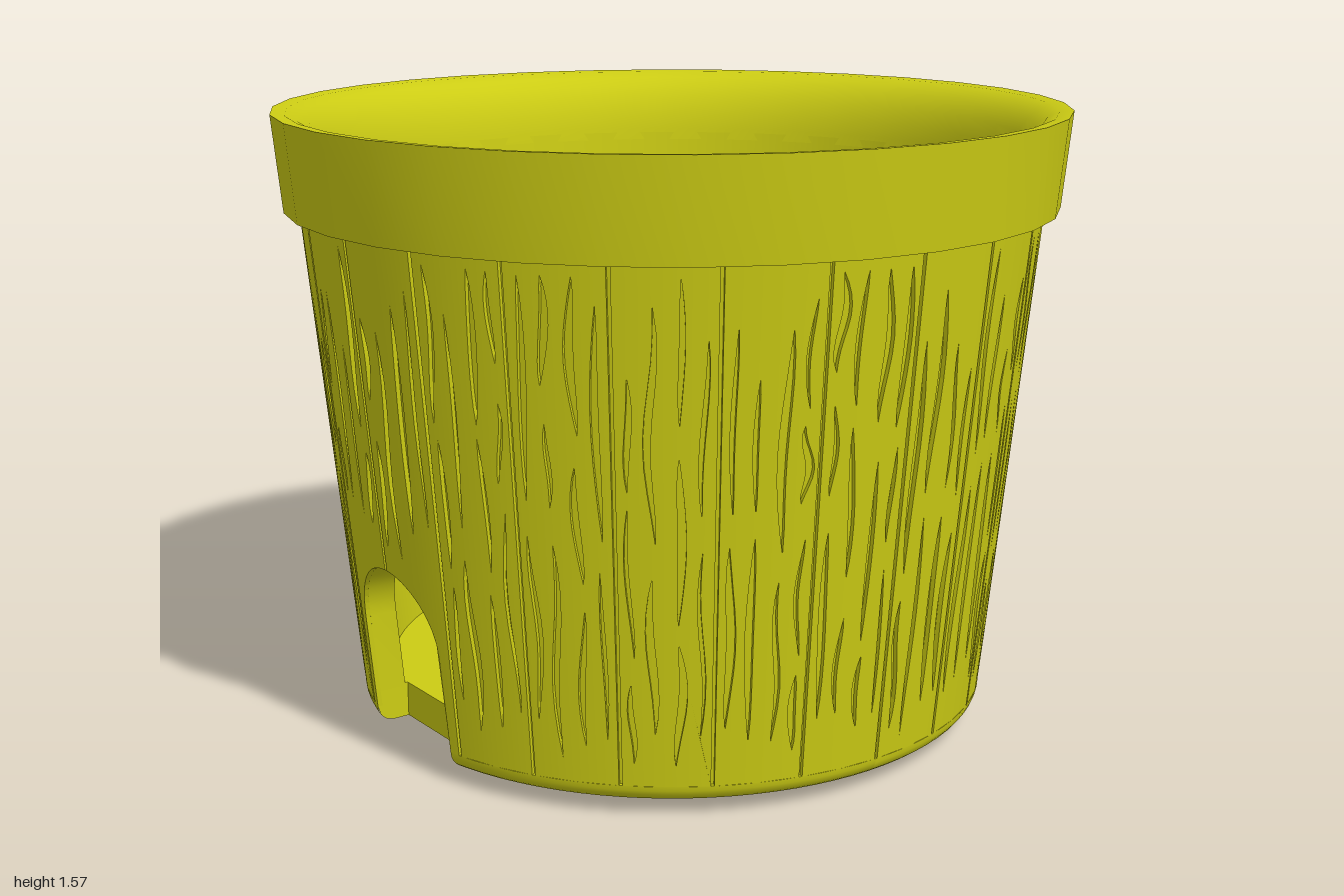
import * as THREE from 'three';
import { toCreasedNormals } from 'three/addons/utils/BufferGeometryUtils.js';

const FOOT = 0.08, BASE = 0.035, FLOOR = 0.125, BODY_TOP = 1.34;
const DOOR = 0.18, SPRING = 0.325, SILL_X = 0.71;   // door half width, arch spring height, sill face
const GROOVE = 0.012, SLOPE = 0.096;
const DEG = Math.PI / 180, STRIP = 7.5 * DEG;

// Wall radii by height; the outer one rounds off into the foot
const outerR = y => y >= FOOT
  ? 0.818 + SLOPE * (y - FOOT)
  : 0.773 + 0.045 * Math.sqrt(Math.max(0, 1 - ((FOOT - y) / 0.045) ** 2));
const innerR = y => 0.74 + 0.0905 * (y - FLOOR);
const archY = z => SPRING + Math.sqrt(Math.max(0, DOOR * DOOR - z * z));

// Seeded random numbers
let seed = 7;
const rand = (lo, hi) => {
  seed = (seed * 16807) % 2147483647;
  return lo + (hi - lo) * seed / 2147483647;
};

// Surface through a grid of points, fn(column, row) -> [x, y, z]
function grid(cols, rows, fn) {
  const pos = [], index = [], n = rows.length;
  cols.forEach((c, i) => rows.forEach((r, j) => {
    pos.push(...fn(c, r));
    if (i && j) {
      const d = i * n + j, a = d - n - 1;
      index.push(a, d - 1, d, a, d, a + 1);
    }
  }));
  const geo = new THREE.BufferGeometry();
  geo.setAttribute('position', new THREE.Float32BufferAttribute(pos, 3));
  geo.setIndex(index);
  return toCreasedNormals(geo, 0.5);
}

// Wall columns of one half, around a door at +x: fixed angle, or fixed z near the door
const sideCols = [];
for (let a = 90; a >= 15; a -= 3.75) sideCols.push({ a: a * DEG });
const rightCols = [...sideCols, { z: DOOR }];
const leftCols = [{ z: -DOOR }, ...sideCols.map(c => ({ a: -c.a })).reverse()];
const doorCols = [];
for (let i = 1; i < 16; i++) doorCols.push({ z: DOOR * Math.cos(i / 16 * Math.PI) });
const allCols = [...rightCols, ...doorCols, ...leftCols];

// Band of wall; rows are [height, inset]; columns over the door stop at the arch
const band = (radius, cols, rows) => grid(cols, rows, (c, [y, inset]) => {
  if (c.z === undefined) {
    const r = radius(y) - inset;
    return [r * Math.cos(c.a), y, r * Math.sin(c.a)];
  }
  if (Math.abs(c.z) < DOOR) y = Math.max(y, archY(c.z));
  return [Math.sqrt((radius(y) - inset) ** 2 - c.z * c.z), y, c.z];
});

// Lower edge of a wood strip between two angles from the door's middle
function lowerEdge(n) {
  const split = 0.669, pts = [];
  if (n > 1) return [[n * STRIP, FOOT], [(n + 1) * STRIP, FOOT]];
  for (let i = 0; i <= 8; i++) {
    const t = n ? split + (Math.PI / 2 - split) * i / 8 : split * i / 8;
    const y = SPRING + DOOR * Math.cos(t);
    pts.push([Math.asin(DOOR * Math.sin(t) / outerR(y)), y]);
  }
  if (n) {
    pts[0][0] = STRIP;
    pts.push([Math.asin(DOOR / outerR(FOOT)), FOOT], [2 * STRIP, FOOT]);
  } else pts[8][0] = STRIP;
  return pts;
}

// Wavy leaf-shaped grain groove
function grainHole(centre, y0, length) {
  const w = rand(0.005, 0.013), amp = rand(0.003, 0.011), ph = rand(0, 6.3), freq = rand(3, 7);
  const side = [];
  for (let i = 0; i <= 9; i++) {
    const t = i / 9;
    side.push([centre + amp * Math.sin(ph + freq * t), y0 + length * t, w * Math.sin(Math.PI * t) ** 0.7 || 0]);
  }
  const right = side.map(([x, y, h]) => new THREE.Vector2(x + h, y));
  const left = side.slice(1, -1).reverse().map(([x, y, h]) => new THREE.Vector2(x - h, y));
  return new THREE.Path([...right, ...left]);
}

// One strip of wood skin with grain cut through it, wrapped on the tapered wall
function stripGeometry(k) {
  const n = k >= 0 ? k : -k - 1, sign = k >= 0 ? 1 : -1;
  const edge = lowerEdge(n), last = edge.length - 1;
  if (n % 2) edge[last][0] -= 0.005; else edge[0][0] += 0.005;   // plank seam
  const outline = [...edge, [edge[last][0], BODY_TOP], [edge[0][0], BODY_TOP]];
  const shape = new THREE.Shape(outline.map(([a, y]) => new THREE.Vector2(sign * a, y)));
  for (const lane of [0.28, 0.72]) {
    let y = (n < 2 ? 0.54 : 0.12) + rand(0, 0.12);
    while (y < 1.1) {
      const length = Math.min(rand(0.18, 0.6), 1.3 - y);
      shape.holes.push(grainHole(sign * (n + lane) * STRIP, y, length));
      y += length + rand(0.03, 0.1);
    }
  }
  const geo = new THREE.ExtrudeGeometry(shape, { depth: GROOVE, bevelEnabled: false });
  const p = geo.attributes.position;
  for (let i = 0; i < p.count; i++) {
    const v = p.getX(i), y = p.getY(i), r = outerR(y) - GROOVE + p.getZ(i);
    p.setXYZ(i, r * Math.cos(v), y, -r * Math.sin(v));
  }
  geo.computeVertexNormals();
  // Smooth the outward faces around the wall
  const nor = geo.attributes.normal, out = new THREE.Vector3(), f = new THREE.Vector3();
  for (let i = 0; i < p.count; i++) {
    out.set(p.getX(i), 0, p.getZ(i)).normalize().setY(-SLOPE).normalize();
    if (f.fromBufferAttribute(nor, i).dot(out) > 0.7) nor.setXYZ(i, out.x, out.y, out.z);
  }
  return geo;
}

export function createModel() {
  const model = new THREE.Group();
  model.name = 'woodenTub';
  const material = new THREE.MeshStandardMaterial({ color: 0xcccc14 });
  const add = (parent, name, geo) => {
    const mesh = new THREE.Mesh(geo, material);
    mesh.name = name;
    parent.add(mesh);
    return mesh;
  };
  const lathe = (pts, sides) => toCreasedNormals(
    new THREE.LatheGeometry(pts.map(([x, y]) => new THREE.Vector2(x, y)), sides), 0.5);

  // Half wall geometries, shared by both halves
  const footRows = [];
  for (let i = 0; i <= 6; i++) footRows.push([FOOT - 0.045 * Math.cos(i / 6 * Math.PI / 2), 0]);
  const archPath = [[-DOOR, BASE], [-DOOR, 0.042], [-DOOR, 0.055], [-DOOR, FOOT]];
  for (let i = 0; i <= 20; i++) {
    const t = i / 20 * Math.PI;
    archPath.push([-DOOR * Math.cos(t), SPRING + DOOR * Math.sin(t)]);
  }
  archPath.push([DOOR, FOOT], [DOOR, 0.055], [DOOR, 0.042], [DOOR, BASE]);
  const parts = {
    footRight: band(outerR, rightCols, footRows),
    footLeft: band(outerR, leftCols, footRows),
    grooveBacking: band(outerR, allCols, [[FOOT, 0], [FOOT, GROOVE], [BODY_TOP, GROOVE]]),
    innerWall: band(innerR, allCols, [[1.4, 0], [FLOOR, 0]]),
    doorReveal: grid(archPath, [outerR, innerR], ([z, y], radius) =>
      [Math.max(SILL_X, Math.sqrt(radius(y) ** 2 - z * z)), y, z]),
  };
  const strips = [];
  for (let k = -12; k < 12; k++) strips.push(stripGeometry(k));

  for (const [name, turn] of [['leftHalf', 0], ['rightHalf', Math.PI]]) {
    const half = new THREE.Group();
    half.name = name;
    half.rotation.y = turn;
    for (const part in parts) add(half, part, parts[part]);
    strips.forEach(geo => add(half, 'woodStrip', geo));
    model.add(half);
  }

  // Rim collar with a rounded inner lip
  add(model, 'rim', lathe([
    [0.9, 1.33], [0.977, 1.33], [1, 1.57], [0.965, 1.567], [0.935, 1.553], [0.908, 1.53],
    [0.885, 1.495], [0.868, 1.45], [0.86, 1.41], [0.856, 1.38],
  ], 32));

  // Floor slab, notched at both doors
  const R = 0.77, a = Math.asin(DOOR / R);
  const slab = new THREE.Shape();
  slab.moveTo(SILL_X, DOOR);
  slab.absarc(0, 0, R, a, Math.PI - a, false);
  slab.lineTo(-SILL_X, DOOR);
  slab.lineTo(-SILL_X, -DOOR);
  slab.absarc(0, 0, R, Math.PI + a, 2 * Math.PI - a, false);
  slab.lineTo(SILL_X, -DOOR);
  const slabGeo = new THREE.ExtrudeGeometry(slab, { depth: FLOOR - BASE, bevelEnabled: false, curveSegments: 32 });
  add(model, 'floor', slabGeo.rotateX(-Math.PI / 2)).position.y = BASE;

  // Raised round pad underneath
  add(model, 'basePad', lathe([[0, 0], [0.445, 0], [0.472, 0.036]], 48));
  return model;
}
